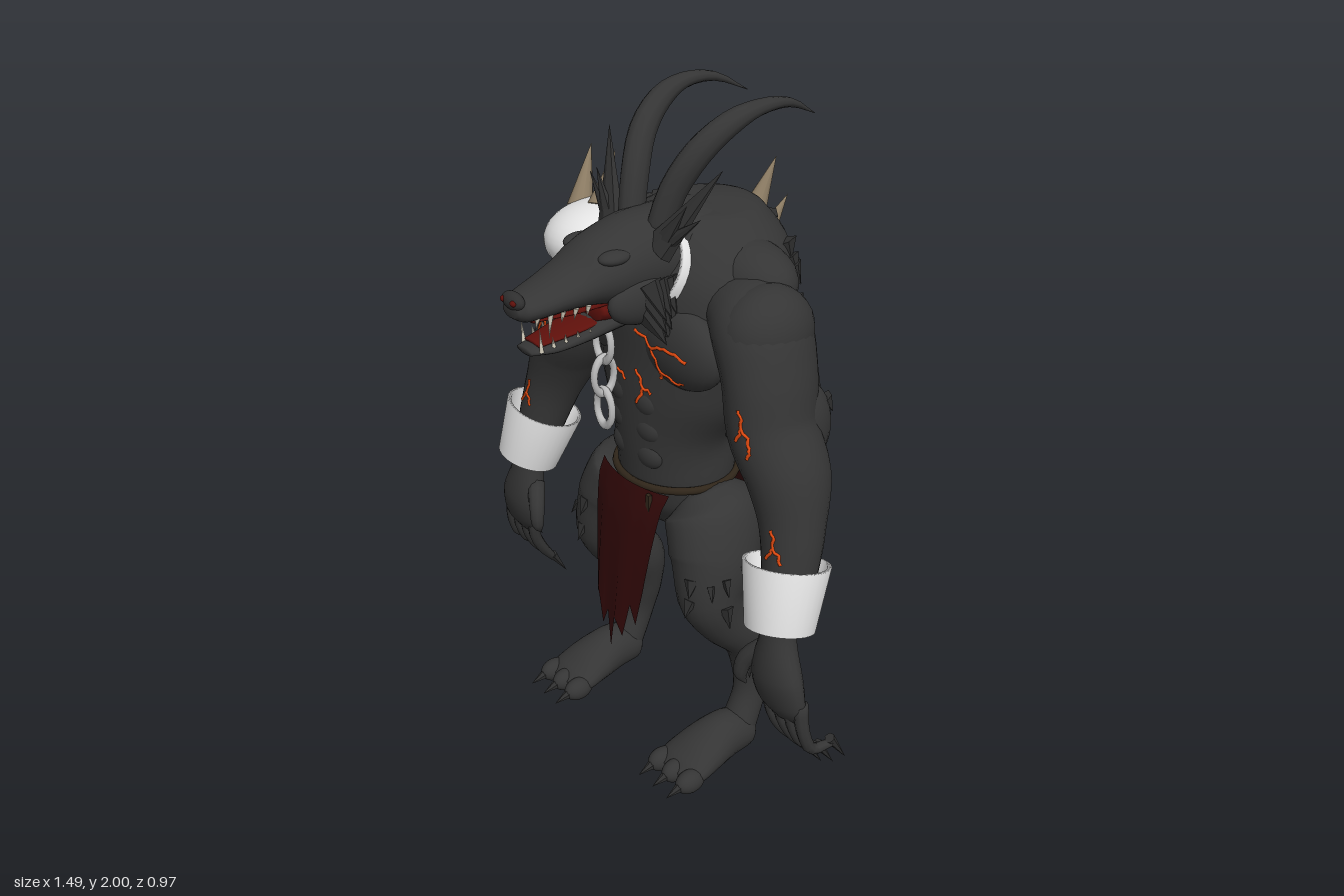
import * as THREE from 'three';

const V = (x, y, z) => new THREE.Vector3(x, y, z);
const mat = (name, color, extra = {}) => new THREE.MeshStandardMaterial({ name, color, ...extra });

export function createModel() {
  const root = new THREE.Group();
  root.name = 'hornedBeast';
  const M = {
    hide: mat('charcoalHide', 0x353535), claw: mat('darkClaw', 0x2f2f2f, { flatShading: true }),
    white: mat('whiteArmour', 0xe6e6e6), bone: mat('tanBone', 0x8a7a62),
    cloth: mat('darkRedCloth', 0x300808, { side: THREE.DoubleSide }), belt: mat('brownLeather', 0x30261a),
    glow: mat('glowingOrange', 0xe34a10), mouth: mat('mouthRed', 0x5e100b),
    tooth: mat('ivoryTeeth', 0xd9d2c0), chain: mat('chainSteel', 0xbdbdbd),
  };
  const skin = [];
  const add = (name, geo, material) => {
    const m = new THREE.Mesh(geo, material);
    m.name = name;
    root.add(m);
    if (material === M.hide) skin.push(m);
    return m;
  };

  // Smooth skin through elliptical sections [x, y, z, radius along ref, other radius]
  const X = V(1, 0, 0), Z = V(0, 0, 1);
  function loft(name, rows, material = M.hide, ref = X, seg = 20, sub = 5) {
    const path = new THREE.CatmullRomCurve3(rows.map(r => V(r[0], r[1], r[2])));
    const size = new THREE.CatmullRomCurve3(rows.map(r => V(r[3], r[4], 0)), false, 'catmullrom', 0.4);
    const n = (rows.length - 1) * sub, pos = [], idx = [];
    for (let i = 0; i <= n; i++) {
      const c = path.getPoint(i / n), r = size.getPoint(i / n), t = path.getTangent(i / n);
      const a = ref.clone().addScaledVector(t, -t.dot(ref)).normalize(), b = t.clone().cross(a);
      for (let j = 0; j < seg; j++) {
        const w = j / seg * Math.PI * 2;
        const p = c.clone().addScaledVector(a, Math.cos(w) * Math.max(r.x, 0.001)).addScaledVector(b, Math.sin(w) * Math.max(r.y, 0.001));
        pos.push(p.x, p.y, p.z);
        const k = (j + 1) % seg, q = i * seg;
        if (i < n) idx.push(q + j, q + k, q + seg + k, q + j, q + seg + k, q + seg + j);
      }
    }
    const end = pos.length / 3;
    for (const t of [0, 1]) pos.push(...path.getPoint(t).toArray());
    for (let j = 0; j < seg; j++) {
      const k = (j + 1) % seg;
      idx.push(end, k, j, end + 1, n * seg + j, n * seg + k);
    }
    const g = new THREE.BufferGeometry();
    g.setAttribute('position', new THREE.Float32BufferAttribute(pos, 3));
    g.setIndex(idx);
    g.computeVertexNormals();
    return add(name, g, material);
  }
  const ball = (name, c, r, material = M.hide) =>
    add(name, new THREE.SphereGeometry(1, 24, 16).scale(...r).translate(...c), material);
  function spike(name, from, to, r, material = M.claw, flat = 1, sides = 6) {
    const d = to.clone().sub(from), h = d.length();
    const g = new THREE.ConeGeometry(r, h, sides).translate(0, h / 2, 0).scale(1, 1, flat);
    g.applyQuaternion(new THREE.Quaternion().setFromUnitVectors(V(0, 1, 0), d.normalize()));
    return add(name, g.translate(from.x, from.y, from.z), material);
  }

  // Torso, hunched back and neck
  loft('torso', [[0, .76, -.08, .13, .1], [0, .84, -.08, .17, .145], [0, .93, -.08, .18, .165], [0, 1.05, -.065, .185, .16],
    [0, 1.2, -.08, .265, .18], [0, 1.35, -.12, .31, .225], [0, 1.5, -.16, .305, .25], [0, 1.62, -.19, .24, .21],
    [0, 1.69, -.2, .14, .14], [0, 1.71, -.2, .03, .03]], M.hide, X, 32);
  loft('head', [[0, 1.55, -.24, .15, .13], [0, 1.58, -.12, .165, .135], [0, 1.6, 0, .135, .125], [0, 1.6, .1, .125, .122],
    [0, 1.595, .2, .118, .095], [0, 1.58, .29, .095, .062], [0, 1.565, .38, .078, .044], [0, 1.555, .45, .06, .034],
    [0, 1.555, .475, .03, .018]], M.hide, X, 24);
  ball('nose', [0, 1.58, .462], [.042, .024, .022], M.claw);
  loft('lowerJaw', [[0, 1.5, .03, .09, .06], [0, 1.48, .13, .095, .045], [0, 1.45, .24, .075, .03], [0, 1.432, .36, .06, .02], [0, 1.43, .435, .035, .01]]);
  loft('throat', [[0, 1.5, .1, .07, .05], [0, 1.5, .18, .085, .045], [0, 1.5, .24, .072, .036]], M.mouth);
  loft('palate', [[0, 1.525, .18, .07, .02], [0, 1.525, .3, .07, .012], [0, 1.525, .43, .045, .008]], M.mouth);
  loft('tongue', [[0, 1.475, .18, .06, .015], [0, 1.462, .28, .055, .011], [0, 1.445, .41, .035, .008]], M.mouth);

  for (const s of [-1, 1]) {
    // Face details
    ball('brow', [s * .075, 1.652, .195], [.034, .02, .05]);
    ball('cheek', [s * .1, 1.525, .12], [.042, .07, .115]);
    ball('nostril', [s * .022, 1.583, .478], [.01, .008, .008], M.mouth);
    for (let i = 0; i < 5; i++) {
      const z = .28 + i * .036, w = .074 - i * .006;
      spike('upperTooth', V(s * w, 1.54, z), V(s * w * .95, i === 3 ? 1.472 : 1.507, z + .005), .008, M.tooth);
      spike('lowerTooth', V(s * w * .8, 1.445 - i * .003, z - .015), V(s * w * .85, i === 4 ? 1.5 : 1.47, z - .01), .007, M.tooth);
    }
    // Ears, cheek tufts and horns
    const ear = [[.235, 1.88, -.03, .05], [.19, 1.79, .05, .035], [.235, 1.765, .04, .03]];
    for (const [x, y, z, r] of ear) spike('ear', V(s * .1, 1.65, .07), V(s * x, y, z), r, M.claw, .6, 7);
    for (let i = 0; i < 9; i++) {
      const z = .125 - (i % 3) * .025, y = 1.57 - Math.floor(i / 3) * .035;
      spike('cheekTuft', V(s * .12, y, z), V(s * (.185 - (i % 3) * .01), y - .085, z - .015), .045, M.claw, .7);
    }
    loft('horn', [[s * .055, 1.66, .04, .034, .04], [s * .08, 1.79, .005, .036, .042], [s * .115, 1.89, -.05, .037, .04],
      [s * .14, 1.955, -.13, .034, .034], [s * .152, 1.983, -.22, .025, .022], [s * .15, 1.975, -.33, .014, .013],
      [s * .135, 1.92, -.44, .001, .001]], M.hide, X, 10, 3);

    // Muscles
    ball('pectoral', [s * .15, 1.375, .03], [.165, .12, .07]);
    ball('latissimus', [s * .12, 1.2, -.15], [.14, .17, .112]);
    ball('trapezius', [s * .19, 1.55, -.16], [.17, .1, .11]);
    for (let i = 0; i < 3; i++) ball('abdominal', [s * .05, 1.01 + i * .085, .054 + i * .004], [.058, .05, .038]);

    // Arm, cuff and hand
    loft('arm', [[s * .2, 1.5, -.11, .1, .08], [s * .33, 1.465, -.085, .14, .12], [s * .39, 1.36, -.07, .14, .113], [s * .425, 1.22, -.055, .13, .112],
      [s * .495, 1.1, -.055, .12, .108], [s * .545, .96, -.03, .09, .088], [s * .57, .84, .0, .075, .075], [s * .585, .72, .035, .053, .053]], M.hide, Z, 24);
    ball('deltoid', [s * .355, 1.46, -.085], [.115, .13, .14]);
    ball('elbow', [s * .435, 1.2, -.13], [.085, .14, .105]);
    const cuff = new THREE.LatheGeometry([[.086, -.092], [.098, -.092], [.122, .09], [.11, .09], [.086, -.092]].map(p => new THREE.Vector2(...p)), 32);
    cuff.applyQuaternion(new THREE.Quaternion().setFromUnitVectors(V(0, 1, 0), V(-s * .035, .18, -.05).normalize()));
    add('wristCuff', cuff.translate(s * .575, .793, .022), M.white);
    loft('palm', [[s * .583, .76, .03, .06, .06], [s * .588, .69, .045, .048, .052], [s * .605, .56, .06, .052, .088],
      [s * .625, .48, .055, .04, .085], [s * .63, .43, .045, .02, .06]], M.hide, Z);
    for (let i = 0; i < 4; i++) {
      const x = .565 + .042 * i, tip = [.19, .19, .22, .27][i], ex = .597 + .045 * i;
      loft('finger', [[s * x, .5, .05, .021, .024], [s * (x + .012), .41, .045, .019, .02], [s * (x + .02), .34, .012, .017, .018], [s * ex, tip + .08, -.04, .012, .012]], M.hide, X, 8, 3);
      spike('fingerClaw', V(s * (ex - .003), tip + .095, -.034), V(s * (ex + .005), tip, -.095), .016);
    }
    loft('thumb', [[s * .55, .62, .05, .03, .03], [s * .505, .57, .08, .026, .026], [s * .49, .51, .09, .02, .02], [s * .497, .47, .075, .003, .003]], M.hide, X, 10, 3);

    // Bent hind leg, foot, toes and claws
    loft('leg', [[s * .13, .885, -.08, .07, .08], [s * .17, .82, -.08, .125, .155], [s * .22, .71, -.045, .118, .148], [s * .245, .6, -.012, .092, .105],
      [s * .255, .51, -.055, .08, .09], [s * .26, .42, -.138, .082, .088], [s * .265, .31, -.16, .065, .065], [s * .275, .2, -.15, .05, .053], [s * .28, .08, -.1, .055, .055]], M.hide, X, 24);
    loft('foot', [[s * .28, .06, -.15, .02, .02], [s * .28, .068, -.12, .06, .06], [s * .28, .08, -.04, .072, .075], [s * .28, .065, .05, .088, .06],
      [s * .28, .045, .12, .092, .04], [s * .28, .035, .16, .06, .02]]);
    for (const o of [-.065, 0, .065]) {
      ball('toe', [s * .28 + o, .038, .145], [.034, .036, .05]);
      spike('toeClaw', V(s * .28 + o, .04, .17), V(s * .28 + o, .022, .238), .02);
    }
  }

  // Points on the hide, found by probing from one side
  root.updateMatrixWorld(true);
  const body = skin.filter(m => /torso|pectoral|lat|trap|abdom|arm|deltoid|elbow|leg/.test(m.name));
  const probe = (from, dir) => new THREE.Raycaster(from, dir).intersectObjects(body, false)[0];

  // Glowing cracks on chest and arms
  const cracks = [
    [[-.2, 1.39], [-.14, 1.34], [-.07, 1.39], [-.03, 1.4]], [[-.14, 1.34], [-.16, 1.3]], [[-.1, 1.37], [-.08, 1.32]],
    [[.03, 1.4], [.1, 1.37], [.16, 1.39], [.24, 1.375]], [[.1, 1.37], [.13, 1.31], [.19, 1.29], [.22, 1.3]], [[.13, 1.31], [.12, 1.28]],
    [[-.09, 1.22], [-.05, 1.25], [-.01, 1.23]], [[.03, 1.28], [.06, 1.23], [.09, 1.22]], [[.06, 1.23], [.04, 1.18]],
  ];
  for (const s of [-1, 1]) cracks.push([[s * .425, 1.31], [s * .44, 1.26], [s * .47, 1.21], [s * .465, 1.18]],
    [[s * .44, 1.26], [s * .425, 1.22]], [[s * .55, 1.0], [s * .565, .95], [s * .595, .91]], [[s * .565, .95], [s * .545, .91]]);
  for (const line of cracks) {
    const pts = [];
    line.forEach(([x, y], i) => {
      const [px, py] = line[Math.max(i - 1, 0)], steps = i ? 4 : 1;
      for (let k = 1; k <= steps; k++) {
        const t = k / steps, jag = k === 2 ? .006 : 0;
        const hit = probe(V(px + (x - px) * t + jag, py + (y - py) * t + jag, 2), V(0, 0, -1));
        if (hit) pts.push(hit.point);
      }
    });
    if (pts.length > 1) add('glowingCrack', new THREE.TubeGeometry(new THREE.CatmullRomCurve3(pts), 16, .005, 6), M.glow);
  }

  // Scales scattered over the back, shoulders and legs
  let seed = 7;
  const rnd = (a, b) => { seed = (seed * 16807) % 2147483647; return a + (b - a) * seed / 2147483647; };
  function scale(from, dir, r) {
    const hit = probe(from, dir);
    if (!hit) return;
    const n = hit.face.normal;
    spike('scale', hit.point.clone().addScaledVector(n, -.008).add(V(0, .015, 0)), hit.point.clone().addScaledVector(n, .018).add(V(0, -r * 1.5, 0)), r, M.claw, .7, 5);
  }
  for (let i = 0; i < 34; i++) scale(V(rnd(-.27, .27), rnd(1.3, 1.64), -2), Z, rnd(.024, .038));
  for (const s of [-1, 1]) {
    const side = V(-s, 0, 0);
    for (let i = 0; i < 6; i++) scale(V(s * 2, rnd(.52, .78), rnd(-.14, .06)), side, rnd(.02, .032));
    for (let i = 0; i < 3; i++) scale(V(s * 2, rnd(.27, .45), rnd(-.19, -.11)), side, rnd(.016, .022));
    for (let i = 0; i < 3; i++) scale(V(s * rnd(.22, .32), rnd(.58, .76), 2), V(0, 0, -1), rnd(.018, .026));
    for (let i = 0; i < 3; i++) scale(V(s * rnd(.36, .5), rnd(1.15, 1.45), -2), Z, rnd(.02, .03));
  }

  // Bone spikes down the spine
  for (const [y, z, ty, tz] of [[1.61, -.35, 1.765, -.435], [1.51, -.38, 1.64, -.485], [1.42, -.37, 1.52, -.485], [1.34, -.33, 1.39, -.48], [1.3, -.29, 1.29, -.39]])
    spike('spineSpike', V(0, y, z), V(0, ty, tz), .038, M.bone, 1, 12);

  // Shoulder guard with spikes on the right side
  const guard = new THREE.SphereGeometry(1, 32, 20).scale(.175, .108, .185);
  add('shoulderGuard', guard.rotateZ(.08).translate(-.353, 1.502, -.1), M.white);
  for (const [x, y, tx, ty] of [[-.455, 1.56, -.515, 1.72], [-.355, 1.59, -.4, 1.73], [-.245, 1.58, -.295, 1.72]])
    spike('guardSpike', V(x, y, -.085), V(tx, ty, -.175), .04, M.bone, 1, 12);

  // Neck collar and hanging chain
  const band = new THREE.LatheGeometry([[.96, -.036], [1.04, -.036], [1.04, .036], [.96, .036], [.96, -.036]].map(p => new THREE.Vector2(...p)), 40);
  add('neckCollar', band.scale(.163, 1, .135).rotateX(Math.PI / 2 - .5).translate(0, 1.565, .025), M.white);
  for (let i = 0; i < 3; i++) {
    const link = new THREE.TorusGeometry(.04, .011, 8, 20).scale(.85, 1.35, 1);
    if (i === 1) link.rotateY(Math.PI / 2);
    add('chainLink', link.translate(0, 1.375 - i * .1, .18), M.chain);
  }

  // Belt, strap and ragged loincloths
  add('belt', new THREE.TorusGeometry(1, .06, 8, 40).rotateX(Math.PI / 2).scale(.184, .2, .174).translate(0, .912, -.081), M.belt);
  add('beltStrap', new THREE.BoxGeometry(.014, .12, .012).translate(.1, .85, .105), M.belt);
  function loincloth(name, z0, lean) {
    const g = new THREE.PlaneGeometry(2, 1, 10, 8), p = g.attributes.position;
    for (let i = 0; i < p.count; i++) {
      const u = p.getX(i), v = .5 - p.getY(i), col = i % 11;
      const len = .565 - .15 * Math.abs(u) - (col % 2 ? 0 : .09);
      p.setXYZ(i, u * (.15 - .035 * v), .915 - v * len, z0 + lean * Math.sqrt(v) - Math.sign(lean) * (.035 * u * u + .006 * Math.cos(col * 1.6) * v));
    }
    g.computeVertexNormals();
    add(name, g, M.cloth);
  }
  loincloth('frontLoincloth', .106, .065);
  loincloth('backLoincloth', -.266, -.025);
  return root;
}
